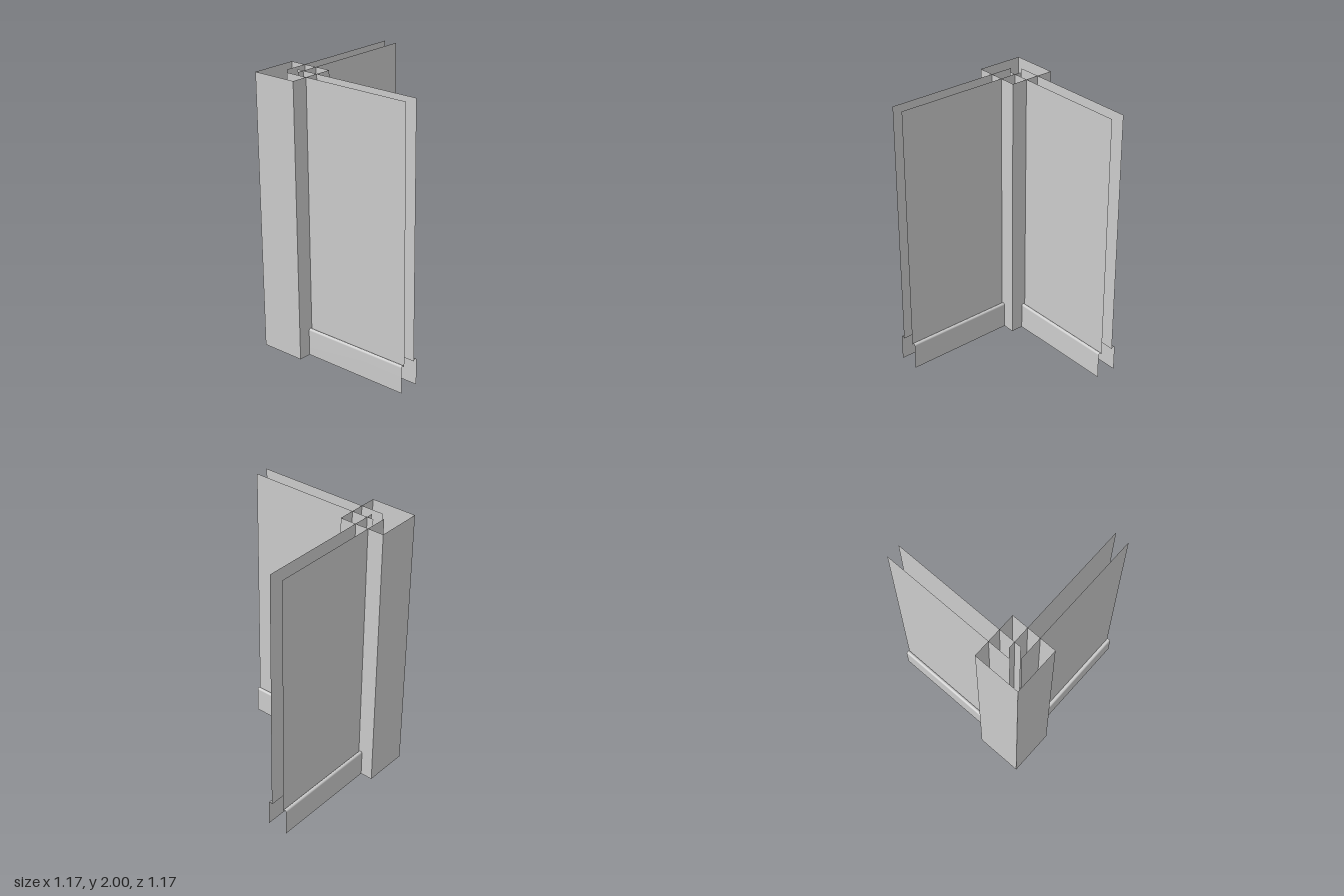
import * as THREE from 'three';

const material = new THREE.MeshStandardMaterial({ color: 0xcccccc, side: THREE.DoubleSide });
const flatMaterial = material.clone();
flatMaterial.flatShading = true;

const HEIGHT = 2, LENGTH = 1;
const CORNER = -0.415;              // centre of the corner post in x and z
const HALF_WALL = 0.05;             // half the wall thickness
const BOARD = 0.028, BOARD_TOP = 0.2; // skirting depth and height

// Sweeps a (z, y) profile along x
function sweep(name, profile) {
  const geometry = new THREE.PlaneGeometry(LENGTH, 1, 1, profile.length - 1);
  const pos = geometry.attributes.position;
  for (let i = 0; i < pos.count; i++) {
    const [z, y] = profile[profile.length - 1 - Math.floor(i / 2)];
    pos.setY(i, y);
    pos.setZ(i, z);
  }
  geometry.computeVertexNormals();
  const mesh = new THREE.Mesh(geometry, material);
  mesh.name = name;
  return mesh;
}

// One face of a wall: flat panel above a skirting board with a rounded top
function wallFace(name) {
  const face = new THREE.Group();
  face.name = name;
  const r = BOARD / 2, base = BOARD_TOP - r;
  const board = [[HALF_WALL + BOARD, 0]];
  for (let i = 0; i <= 8; i++) {
    const a = (Math.PI * i) / 8;
    board.push([HALF_WALL + r + r * Math.cos(a), base + r * Math.sin(a)]);
  }
  face.add(
    sweep('wallPanel', [[HALF_WALL, base], [HALF_WALL, HEIGHT]]),
    sweep('skirtingBoard', board)
  );
  return face;
}

// Hollow wall made of two opposite faces, open at its ends
function wall(name) {
  const group = new THREE.Group();
  group.name = name;
  const outer = wallFace('rearFace');
  outer.rotation.y = Math.PI;
  group.add(wallFace('frontFace'), outer);
  return group;
}

export function createModel() {
  const model = new THREE.Group();
  model.name = 'wallCorner';

  // Two walls meeting at the centre of the post
  const mid = CORNER + LENGTH / 2;
  const backWall = wall('backWall');
  backWall.position.set(mid, 0, CORNER);
  const sideWall = wall('sideWall');
  sideWall.rotation.y = Math.PI / 2;
  sideWall.position.set(CORNER, 0, mid);

  // Square corner post, open at top and bottom
  const radius = 0.17 * Math.SQRT2;
  const postGeometry = new THREE.CylinderGeometry(radius, radius, HEIGHT, 4, 1, true);
  postGeometry.rotateY(Math.PI / 4);
  const post = new THREE.Mesh(postGeometry, flatMaterial);
  post.name = 'cornerPost';
  post.position.set(CORNER, HEIGHT / 2, CORNER);

  model.add(backWall, sideWall, post);
  return model;
}
